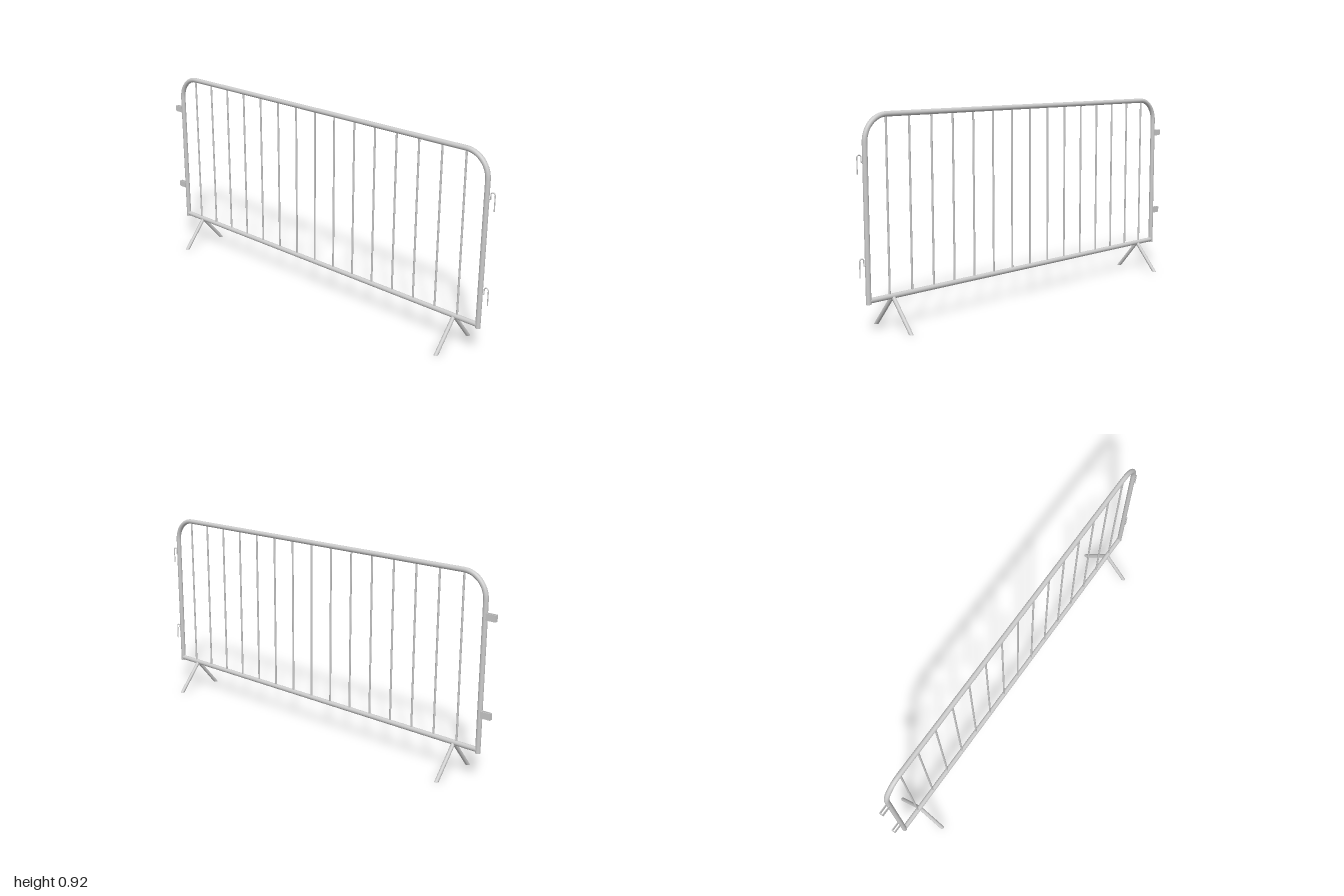
import * as THREE from 'three';

const metal = new THREE.MeshStandardMaterial({ color: 0xcccccc });
const v = (x, y, z) => new THREE.Vector3(x, y, z);

const FRONT = 0.958, BACK = -0.946, TOP = 0.913, RAIL = 0.145, R = 0.0115;

export function createModel() {
  const model = new THREE.Group();

  const add = (name, geometry, x = 0, y = 0, z = 0, parent = model) => {
    const mesh = new THREE.Mesh(geometry, metal);
    mesh.name = name;
    mesh.position.set(x, y, z);
    parent.add(mesh);
    return mesh;
  };

  // Bent outer tube: post, rounded corner, top rail, rounded corner, post
  const bend = 0.11, k = bend * 0.448, foot = 0.13;
  const path = new THREE.CurvePath();
  path.add(new THREE.LineCurve3(v(0, foot, FRONT), v(0, TOP - bend, FRONT)));
  path.add(new THREE.CubicBezierCurve3(v(0, TOP - bend, FRONT), v(0, TOP - k, FRONT),
    v(0, TOP, FRONT - k), v(0, TOP, FRONT - bend)));
  path.add(new THREE.LineCurve3(v(0, TOP, FRONT - bend), v(0, TOP, BACK + bend)));
  path.add(new THREE.CubicBezierCurve3(v(0, TOP, BACK + bend), v(0, TOP, BACK + k),
    v(0, TOP - k, BACK), v(0, TOP - bend, BACK)));
  path.add(new THREE.LineCurve3(v(0, TOP - bend, BACK), v(0, foot, BACK)));
  add('outerFrame', new THREE.TubeGeometry(path, 240, R, 16));
  for (const z of [FRONT, BACK]) {
    add('postCap', new THREE.CircleGeometry(R, 16).rotateX(Math.PI / 2), 0, foot, z);
  }

  // Bottom rail
  add('bottomRail', new THREE.CylinderGeometry(R, R, FRONT - BACK, 16).rotateX(Math.PI / 2),
    0, RAIL, (FRONT + BACK) / 2);

  // Upright bars
  for (let i = 0; i < 15; i++) {
    add('uprightBar', new THREE.CylinderGeometry(0.0045, 0.0045, TOP - RAIL, 10),
      0, (TOP + RAIL) / 2, 0.006 + (i - 7) * 0.1205);
  }

  // Splayed legs: round tubes sheared outwards so the feet sit flat
  for (const z of [0.834, -0.824]) {
    const legs = new THREE.Group();
    legs.name = 'legPair';
    legs.position.z = z;
    model.add(legs);
    for (const side of [-1, 1]) {
      const leg = new THREE.CylinderGeometry(0.009, 0.009, RAIL, 14);
      leg.scale(1.27, 1, 1).translate(0, RAIL / 2, 0);
      const p = leg.attributes.position;
      for (let i = 0; i < p.count; i++) {
        p.setX(i, p.getX(i) + side * 0.121 * (1 - p.getY(i) / RAIL));
      }
      leg.computeVertexNormals();
      add(side > 0 ? 'leftLeg' : 'rightLeg', leg, 0, 0, 0, legs);
    }
  }

  // Wire hooks on the front post and strap loops on the back post
  const w = 0.0025;
  for (const y of [0.735, 0.309]) {
    const wire = new THREE.CurvePath();
    const pts = [v(0, -0.013, FRONT + 0.008), v(0, -0.013, 0.977), v(0, 0.012, 0.977),
      v(0, 0.018, 0.983), v(0, 0.018, 0.992), v(0, 0.012, 0.9975), v(0, -0.06, 0.9975)];
    for (let i = 1; i < pts.length; i++) wire.add(new THREE.LineCurve3(pts[i - 1], pts[i]));
    add('hook', new THREE.TubeGeometry(wire, 90, w, 8), 0, y, 0);
    add('hookTip', new THREE.CircleGeometry(w, 8).rotateX(Math.PI / 2), 0, y - 0.06, 0.9975);

    // U-shaped strap, outlined in plan and extruded upwards
    const strap = new THREE.Shape();
    const near = -BACK, far = 1, h = 0.009, t = 0.003;
    strap.moveTo(-h, near);
    strap.lineTo(-h, far);
    strap.lineTo(h, far);
    strap.lineTo(h, near);
    strap.lineTo(h - t, near);
    strap.lineTo(h - t, far - t);
    strap.lineTo(t - h, far - t);
    strap.lineTo(t - h, near);
    strap.closePath();
    const loop = new THREE.ExtrudeGeometry(strap, { depth: 0.03, bevelEnabled: false });
    add('strapLoop', loop.rotateX(-Math.PI / 2), 0, y - 0.015, 0);
  }

  return model;
}
